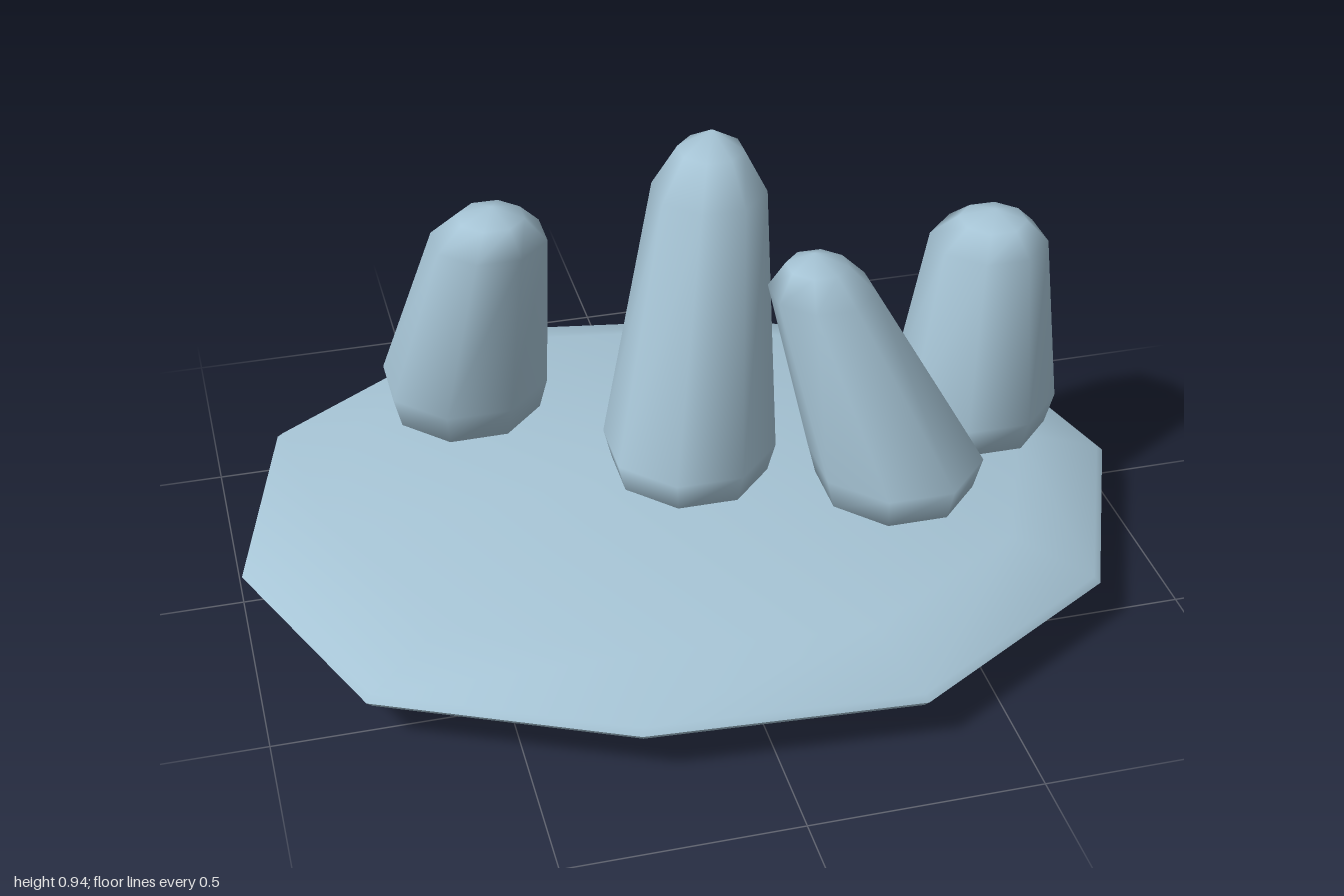
import * as THREE from 'three';
import { toCreasedNormals } from 'three/addons/utils/BufferGeometryUtils.js';

// Skin a stack of equal-sized rings from bottom to top, closed by a point at each end.
function loft(rings, bottom, top, crease) {
  const n = rings[0].length;
  const index = [];
  const points = [...rings.flat(), bottom, top];
  const low = rings.length * n, high = low + 1, last = (rings.length - 1) * n;
  for (let i = 0; i < n; i++) {
    const j = (i + 1) % n;
    for (let r = 0; r < rings.length - 1; r++) {
      const a = r * n, b = a + n;
      index.push(a + i, b + i, a + j, b + i, b + j, a + j);
    }
    index.push(low, i, j, high, last + j, last + i);
  }
  const geometry = new THREE.BufferGeometry();
  geometry.setAttribute('position', new THREE.Float32BufferAttribute(points.flat(), 3));
  geometry.setIndex(index);
  geometry.computeVertexNormals();
  return crease ? toCreasedNormals(geometry, crease) : geometry;
}

// Eight-sided ring that fills the box x0..x1, z0..z1, scaled about its centre.
function octagon([x0, x1, z0, z1], y, scale = 1, shiftX = 0, shiftZ = 0) {
  const k = scale / Math.cos(Math.PI / 8) / 2;
  return Array.from({ length: 8 }, (_, i) => {
    const a = (i + 0.5) * Math.PI / 4;
    return [
      (x0 + x1) / 2 + shiftX + Math.cos(a) * (x1 - x0) * k,
      y,
      (z0 + z1) / 2 + shiftZ + Math.sin(a) * (z1 - z0) * k,
    ];
  });
}

// Leaning, tapered stone with a rounded foot and a blunt tip.
function stone({ foot, shoulder, height, peak }) {
  const cx = (shoulder[0] + shoulder[1]) / 2, cz = (shoulder[2] + shoulder[3]) / 2;
  const rings = [
    octagon(foot, 0.15, 0.62),
    octagon(foot, 0.185, 0.9),
    octagon(foot, 0.26, 1),
    octagon(shoulder, height, 1),
    octagon(shoulder, height + (peak[1] - height) * 0.68, 0.58,
      (peak[0] - cx) * 0.6, (peak[2] - cz) * 0.6),
  ];
  const bottom = [(foot[0] + foot[1]) / 2, 0.14, (foot[2] + foot[3]) / 2];
  return loft(rings, bottom, peak);
}

export function createModel() {
  const group = new THREE.Group();
  const paleBlue = new THREE.MeshStandardMaterial({ color: 0xa6c4d5 });
  paleBlue.name = 'paleBlueStone';

  const add = (name, geometry) => {
    const mesh = new THREE.Mesh(geometry, paleBlue);
    mesh.name = name;
    group.add(mesh);
  };

  // Irregular ten-sided slab, thin at the rim
  const outline = [
    [-1, 0.05], [-0.86, -0.48], [-0.33, -0.83], [0.31, -0.72], [0.86, -0.47],
    [1, 0.05], [0.8, 0.53], [0.31, 0.82], [-0.28, 0.78], [-0.8, 0.54],
  ];
  const profile = [[0.78, 0.028], [0.985, 0.09], [1, 0.105], [0.985, 0.118], [0.79, 0.18]];
  const rings = profile.map(([s, y]) => outline.map(([x, z]) => [x * s, y, z * s]));
  add('slab', loft(rings, [0, 0, 0], [0, 0.195, 0], 0.6));

  // Four standing stones
  add('backStone', stone({
    foot: [-0.6, -0.24, -0.59, -0.22], shoulder: [-0.49, -0.245, -0.41, -0.17],
    height: 0.68, peak: [-0.36, 0.76, -0.28],
  }));
  add('tallStone', stone({
    foot: [-0.16, 0.2, -0.2, 0.17], shoulder: [-0.02, 0.215, -0.265, -0.02],
    height: 0.82, peak: [0.11, 0.945, -0.17],
  }));
  add('frontStone', stone({
    foot: [0.27, 0.63, -0.03, 0.34], shoulder: [0.19, 0.41, -0.055, 0.16],
    height: 0.645, peak: [0.28, 0.735, 0.05],
  }));
  add('sideStone', stone({
    foot: [0.53, 0.88, -0.23, 0.125], shoulder: [0.61, 0.855, -0.205, 0.04],
    height: 0.64, peak: [0.75, 0.7, -0.1],
  }));

  return group;
}
